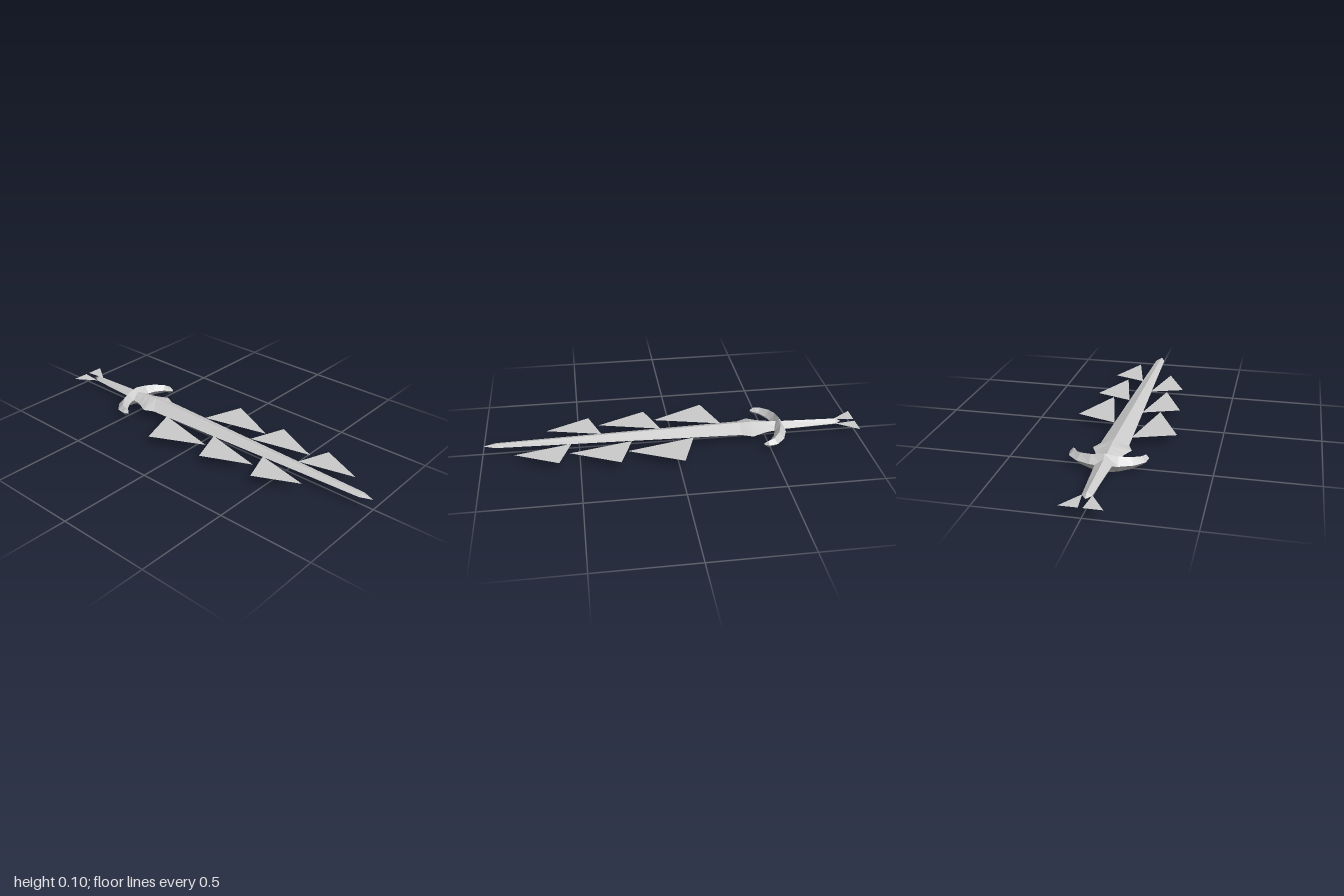
import * as THREE from 'three';

const MID = 0.05;      // height of the flat centre plane
const AXIS = -0.003;   // z of the sword's axis

// Skin a row of equal rings, closing both ends with fans
function loft(rings) {
  const pos = [];
  const n = rings[0].length;
  const tri = (a, b, c) => pos.push(...a, ...b, ...c);
  for (let i = 0; i < rings.length - 1; i++) {
    for (let k = 0; k < n; k++) {
      const a = rings[i][k], b = rings[i][(k + 1) % n];
      const c = rings[i + 1][(k + 1) % n], d = rings[i + 1][k];
      tri(a, b, c);
      tri(a, c, d);
    }
  }
  const first = rings[0], last = rings[rings.length - 1];
  for (let k = 1; k < n - 1; k++) {
    tri(first[0], first[k + 1], first[k]);
    tri(last[0], last[k], last[k + 1]);
  }
  return fromPositions(pos);
}

function fromPositions(pos) {
  const g = new THREE.BufferGeometry();
  g.setAttribute('position', new THREE.Float32BufferAttribute(pos, 3));
  g.computeVertexNormals();
  return g;
}

// Flat triangle in the centre plane, facing up
function flatTriangle(points) {
  const area = points.reduce((s, p, i) => {
    const q = points[(i + 1) % 3];
    return s + p[0] * q[1] - q[0] * p[1];
  }, 0);
  const order = area > 0 ? [...points].reverse() : points;
  return fromPositions(order.flatMap(([x, z]) => [x, MID, z]));
}

export function createModel() {
  const group = new THREE.Group();
  const steel = new THREE.MeshStandardMaterial({
    color: 0xcccccc, flatShading: true, side: THREE.DoubleSide,
  });
  steel.name = 'steel';
  const add = (name, geometry) => {
    const mesh = new THREE.Mesh(geometry, steel);
    mesh.name = name;
    group.add(mesh);
  };

  // Diamond section along x: [x, half width, half height]
  const diamond = ([x, w, h]) => [
    [x, MID + h, AXIS], [x, MID, AXIS + w], [x, MID - h, AXIS], [x, MID, AXIS - w],
  ];
  add('handle', loft([
    [-0.92, 0.001, 0.001], [-0.89, 0.024, 0.018], [-0.57, 0.043, 0.027],
  ].map(diamond)));
  add('blade', loft([
    [-0.57, 0.047, 0.027], [-0.5, 0.06, 0.03], [-0.46, 0.075, 0.033], [-0.415, 0.097, 0.035],
    [-0.36, 0.072, 0.034], [0.93, 0.025, 0.009], [0.99, 0.001, 0.001],
  ].map(diamond)));

  // Curved crossguard: [outer x, outer z, inner x, inner z, half height], mirrored in z
  const arm = [
    [-0.605, 0, -0.54, 0, 0.05],
    [-0.598, 0.07, -0.538, 0.06, 0.039],
    [-0.57, 0.14, -0.525, 0.1, 0.031],
    [-0.525, 0.187, -0.495, 0.143, 0.023],
    [-0.48, 0.195, -0.47, 0.162, 0.018],
    [-0.455, 0.182, -0.457, 0.172, 0.006],
  ];
  const guardRing = ([ox, oz, ix, iz, h], s) => {
    const mx = (ox + ix) / 2, mz = AXIS + s * (oz + iz) / 2;
    return [
      [mx, MID + h, mz], [ox, MID, AXIS + s * oz],
      [mx, MID - h, mz], [ix, MID, AXIS + s * iz],
    ];
  };
  add('crossguard', loft([
    ...arm.slice(1).reverse().map((r) => guardRing(r, -1)),
    ...arm.map((r) => guardRing(r, 1)),
  ]));

  // Flat barbs along both edges: outer corner, tip, root as [x, z]
  [
    [[-0.025, -0.28], [0.255, -0.15], [-0.1, -0.065]],
    [[0.295, -0.25], [0.55, -0.13], [0.225, -0.055]],
    [[0.605, -0.215], [0.83, -0.11], [0.54, -0.04]],
    [[-0.19, 0.28], [0.09, 0.145], [-0.268, 0.06]],
    [[0.135, 0.245], [0.39, 0.13], [0.063, 0.05]],
    [[0.442, 0.215], [0.67, 0.107], [0.38, 0.038]],
  ].forEach((p, i) => add(`barb${i + 1}`, flatTriangle(p)));

  // Split tail behind the handle
  for (const s of [-1, 1]) {
    add(s > 0 ? 'frontTail' : 'backTail', flatTriangle([
      [-1, AXIS + s * 0.1], [-0.885, AXIS + s * 0.023], [-1, AXIS + s * 0.01],
    ]));
  }
  return group;
}
